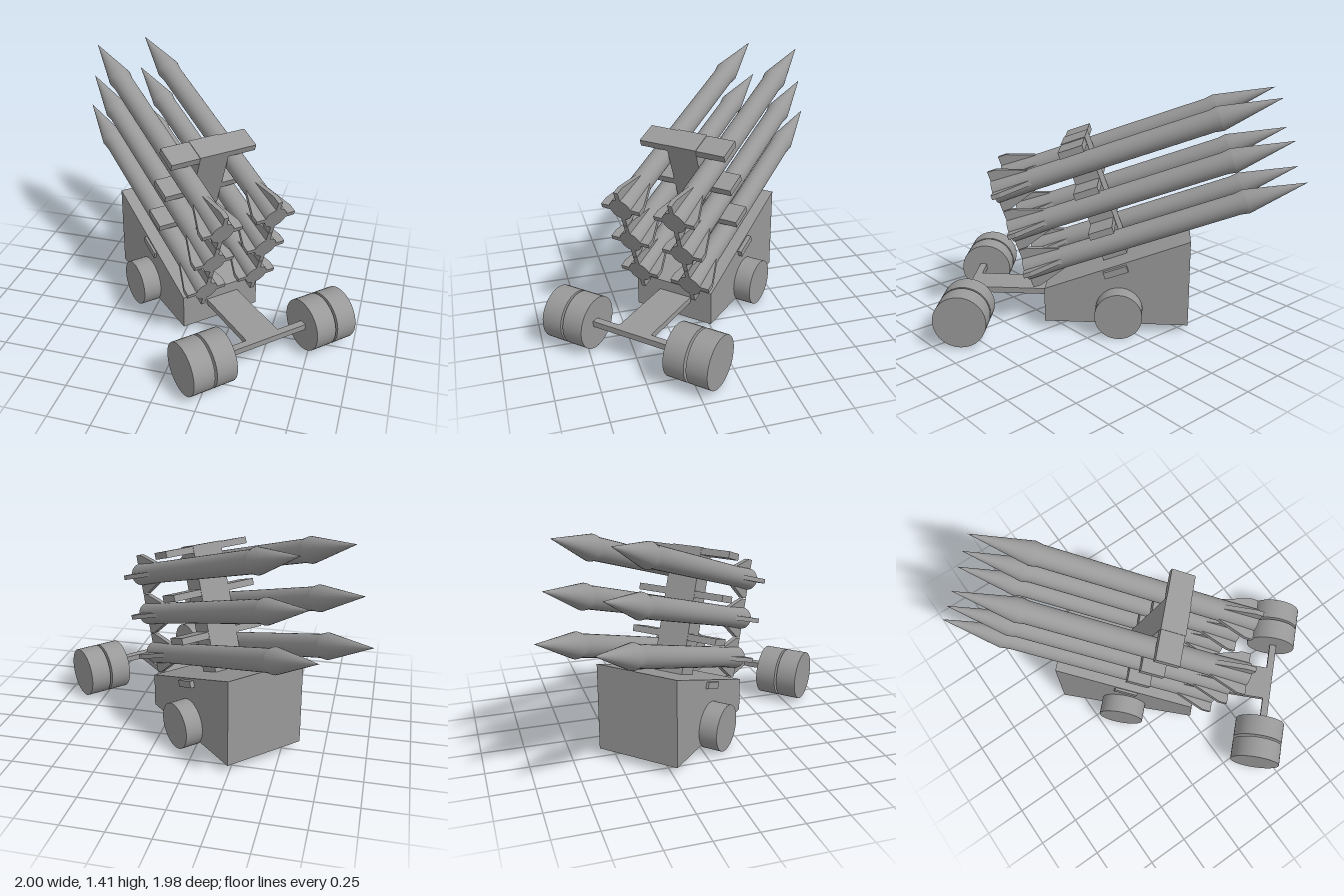
import * as THREE from 'three';
import { toCreasedNormals } from 'three/addons/utils/BufferGeometryUtils.js';

const material = new THREE.MeshStandardMaterial({ color: 0x999999 });

function add(parent, name, geometry, x = 0, y = 0, z = 0) {
  const mesh = new THREE.Mesh(geometry, material);
  mesh.name = name;
  mesh.position.set(x, y, z);
  parent.add(mesh);
  return mesh;
}

// Side profile (z, y) extruded across x, centred on x = 0
function sideExtrude(points, width) {
  const shape = new THREE.Shape(points.map(([z, y]) => new THREE.Vector2(z, y)));
  return new THREE.ExtrudeGeometry(shape, { depth: width, bevelEnabled: false })
    .rotateY(-Math.PI / 2)
    .translate(width / 2, 0, 0);
}

const wheelGeometry = (radius, width) =>
  new THREE.CylinderGeometry(radius, radius, width, 40).rotateZ(Math.PI / 2);

// Missile: tail at the origin, nose towards -z
const LENGTH = 1.72;
const profile = [[0, 0], [0.07, 0], [0.064, 0.2], [0.064, 1.31], [0.072, 1.36], [0, LENGTH]];
const hullGeometry = toCreasedNormals(
  new THREE.LatheGeometry(profile.map(([r, h]) => new THREE.Vector2(r, h)), 32), 0.12 * Math.PI
).rotateX(-Math.PI / 2);
const finGeometry = sideExtrude([[-0.27, 0.05], [0, 0.05], [0, 0.125], [-0.05, 0.125]], 0.028);

function createMissile() {
  const missile = new THREE.Group();
  missile.name = 'missile';
  add(missile, 'missileHull', hullGeometry);
  for (let i = 0; i < 4; i++) {
    add(missile, 'tailFin', finGeometry).rotation.z = (i * Math.PI) / 2;
  }
  return missile;
}

export function createModel() {
  const model = new THREE.Group();
  model.name = 'missileLauncher';

  // The whole vehicle stands diagonally; its own long axis is z
  const vehicle = new THREE.Group();
  vehicle.name = 'vehicle';
  vehicle.rotation.y = Math.PI / 4;
  model.add(vehicle);

  // Wedge body with its two side wheels
  add(vehicle, 'body', sideExtrude([[-0.59, 0.05], [0.265, 0.05], [0.265, 0.26], [-0.59, 0.58]], 0.51), -0.01);
  for (const s of [-1, 1]) {
    add(vehicle, 'sideWheel', wheelGeometry(0.14, 0.12), s * 0.305 - 0.012, 0.14, -0.18);
  }

  // Tow bar, axle and twin wheels
  add(vehicle, 'towBar', new THREE.BoxGeometry(0.21, 0.036, 0.48), 0, 0.178, 0.48);
  add(vehicle, 'axle', new THREE.BoxGeometry(0.54, 0.036, 0.043), 0, 0.178, 0.735);
  for (const s of [-1, 1]) {
    for (const offset of [0.329, 0.471]) {
      add(vehicle, 'twinWheel', wheelGeometry(0.156, 0.128), s * offset + 0.008, 0.166, 0.718);
    }
  }

  // Tilted launcher: mast, cross arms and six missiles
  const launcher = new THREE.Group();
  launcher.name = 'launcher';
  launcher.position.set(-0.005, 0.354, 0.382);
  launcher.rotation.x = THREE.MathUtils.degToRad(19.6);
  vehicle.add(launcher);

  const rowStep = 0.255;
  const mastZ = -0.52;
  add(launcher, 'mast', new THREE.BoxGeometry(0.19, 0.812, 0.15), 0, 0.231, mastZ);
  for (let i = 0; i < 4; i++) {
    for (const s of [-1, 1]) {
      add(launcher, 'crossArm', new THREE.BoxGeometry(0.19, 0.04, 0.145), s * 0.18, 0.613 - i * rowStep, mastZ);
    }
  }
  for (let row = 0; row < 3; row++) {
    for (const s of [-1, 1]) {
      const missile = createMissile();
      missile.position.set(s * 0.17, row * rowStep, 0);
      launcher.add(missile);
    }
  }
  return model;
}
